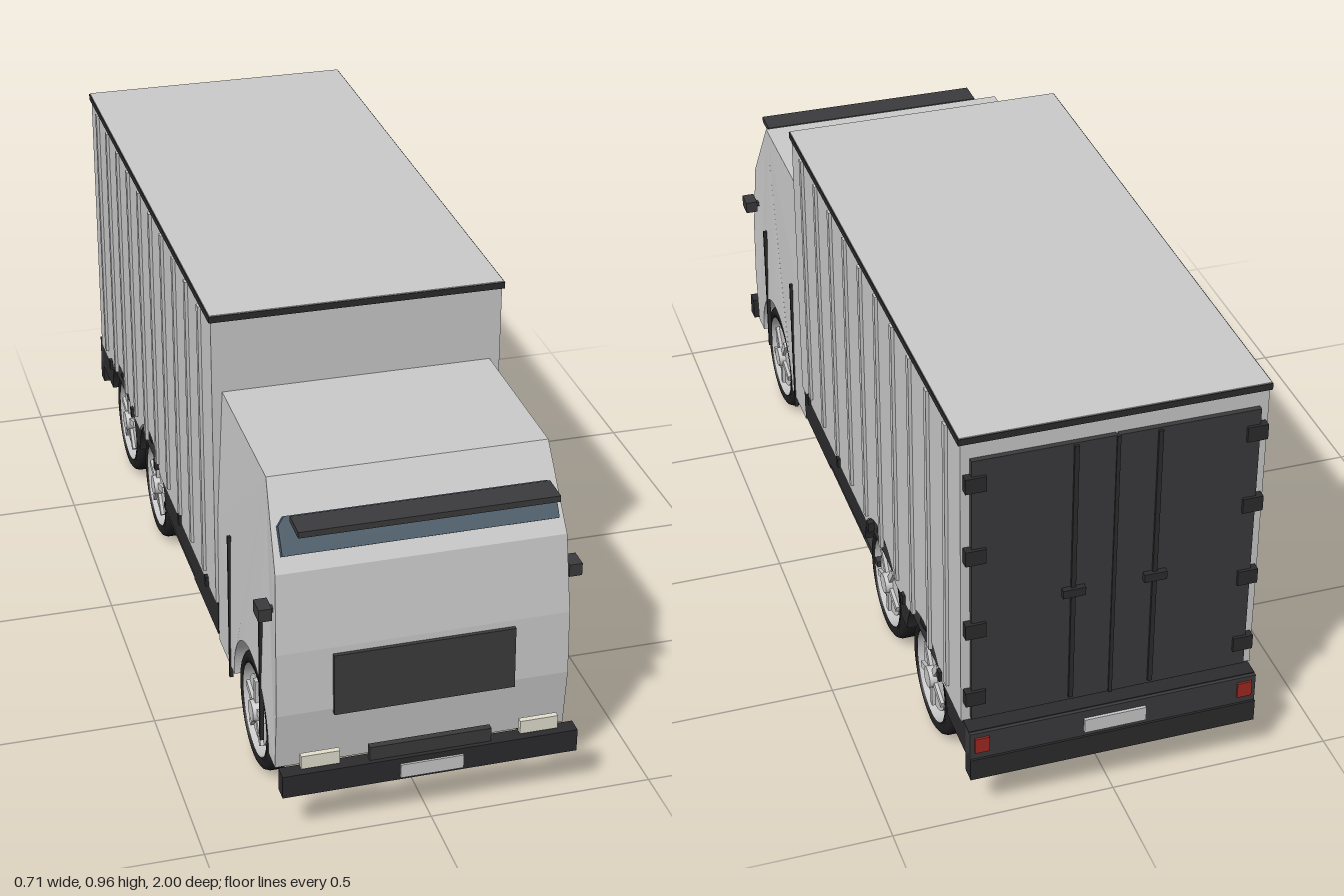
import * as THREE from 'three';

const mat = (color) => new THREE.MeshStandardMaterial({ color, side: THREE.DoubleSide });
const GREY = mat(0xcccccc), DARK = mat(0x3b3b3d), TRIM = mat(0x2c2c2e), RUBBER = mat(0x202020);
const GLASS = mat(0x4e5e6c), LAMP = mat(0xe4e1d0), RED = mat(0xa02a22);

const ARCH_R = 0.155, AXLE_Y = 0.135;
const FRONT_AXLE = 0.705, REAR_AXLES = [-0.675, -0.32];

export function createModel() {
  const truck = new THREE.Group();
  truck.name = 'boxTruck';

  const add = (name, geometry, material, parent = truck) => {
    const mesh = new THREE.Mesh(geometry, material);
    mesh.name = name;
    parent.add(mesh);
    return mesh;
  };
  // Box given by its extents on each axis
  const box = (name, [x0, x1], [y0, y1], [z0, z1], material, parent) => {
    const mesh = add(name, new THREE.BoxGeometry(x1 - x0, y1 - y0, z1 - z0), material, parent);
    mesh.position.set((x0 + x1) / 2, (y0 + y1) / 2, (z0 + z1) / 2);
    return mesh;
  };
  // Same box on both sides
  const pair = (name, [x0, x1], y, z, material) => {
    box(name + 'Left', [x0, x1], y, z, material);
    box(name + 'Right', [-x1, -x0], y, z, material);
  };
  // Side profile with wheel arches along its bottom edge, extruded across the width
  const archedBody = (z0, z1, bottom, axles, upper, halfWidth) => {
    const s = new THREE.Shape();
    s.moveTo(z0, bottom);
    const a = Math.asin((bottom - AXLE_Y) / ARCH_R);
    for (const z of axles) {
      s.lineTo(z - ARCH_R * Math.cos(a), bottom);
      s.absarc(z, AXLE_Y, ARCH_R, Math.PI - a, a, true);
    }
    s.lineTo(z1, bottom);
    for (const [z, y] of upper) s.lineTo(z, y);
    s.closePath();
    const g = new THREE.ExtrudeGeometry(s, { depth: halfWidth * 2, bevelEnabled: false, curveSegments: 24 });
    g.translate(0, 0, -halfWidth);
    g.rotateY(-Math.PI / 2);
    return g;
  };

  // Cab, narrowing towards the roof
  const cab = archedBody(0.405, 0.915, 0.13, [FRONT_AXLE],
    [[0.93, 0.27], [0.925, 0.42], [0.9, 0.6], [0.79, 0.77], [0.405, 0.77], [0.405, 0.45]], 0.324);
  const p = cab.attributes.position;
  for (let i = 0; i < p.count; i++) {
    const t = Math.max(0, (p.getY(i) - 0.3) / 0.47);
    p.setX(i, p.getX(i) * (1 - 0.053 * t * t));
  }
  cab.computeVertexNormals();
  add('cab', cab, GREY);

  // Windscreen, visor and grille
  const windscreen = new THREE.Shape();
  windscreen.moveTo(-0.3, -0.041);
  windscreen.lineTo(0.3, -0.041);
  windscreen.lineTo(0.3, 0.022);
  windscreen.lineTo(0.285, 0.041);
  windscreen.lineTo(-0.285, 0.041);
  windscreen.lineTo(-0.3, 0.022);
  const glass = add('windscreen', new THREE.ExtrudeGeometry(windscreen, { depth: 0.018, bevelEnabled: false }), GLASS);
  glass.position.set(0, 0.664, 0.858);
  glass.rotation.x = -0.574;
  box('sunVisor', [-0.28, 0.28], [0.71, 0.724], [0.88, 0.947], DARK);
  const grille = box('grille', [-0.2, 0.2], [0.26, 0.405], [0.92, 0.938], DARK);
  grille.rotation.x = -0.04;

  // Front bumper with lamps
  box('frontBumper', [-0.328, 0.328], [0.108, 0.162], [0.96, 0.995], TRIM);
  box('frontPlate', [-0.07, 0.07], [0.115, 0.148], [0.99, 1], GREY);
  box('lowerGrille', [-0.135, 0.135], [0.162, 0.195], [0.97, 0.985], DARK);
  pair('headlight', [0.2, 0.285], [0.168, 0.2], [0.972, 0.985], LAMP);

  // Mirrors and door seams
  pair('mirror', [0.325, 0.354], [0.495, 0.524], [0.86, 0.905], DARK);
  pair('mirrorArm', [0.308, 0.33], [0.504, 0.514], [0.873, 0.888], DARK);
  pair('doorSeamFront', [0.318, 0.327], [0.12, 0.47], [0.791, 0.798], TRIM);
  pair('doorSeamRear', [0.318, 0.327], [0.1, 0.47], [0.511, 0.518], TRIM);

  // Cargo box, roof and chassis
  add('cargoBox', archedBody(-0.945, 0.405, 0.23, REAR_AXLES, [[0.405, 0.945], [-0.945, 0.945]], 0.33), GREY);
  box('roofTrim', [-0.335, 0.335], [0.942, 0.957], [-0.949, 0.41], TRIM);
  box('roofPanel', [-0.333, 0.333], [0.95, 0.959], [-0.947, 0.408], GREY);
  add('chassis', archedBody(-0.985, 0.405, 0.155, REAR_AXLES, [[0.405, 0.232], [-0.985, 0.232]], 0.325), TRIM);

  // Side ribs, marker lamps and under-run rails
  for (let i = 0; i < 10; i++) {
    const z = 0.302 - i * 0.1283;
    pair('sideRib' + (i + 1), [0.328, 0.337], [0.26, 0.935], [z - 0.008, z + 0.008], GREY);
  }
  [0.325, 0.04, -0.235, -0.52, -0.8].forEach((z, i) =>
    pair('sideMarker' + (i + 1), [0.322, 0.337], [0.23, 0.255], [z - 0.008, z + 0.008], TRIM));
  pair('sideRail', [0.295, 0.315], [0.117, 0.133], [-0.235, 0.245], DARK);
  pair('sideStep', [0.29, 0.325], [0.142, 0.156], [0.155, 0.4], TRIM);

  // Rear doors with seam, lock bars, handles and hinges
  pair('rearDoor', [0.002, 0.31], [0.24, 0.905], [-0.957, -0.94], DARK);
  pair('lockBar', [0.085, 0.095], [0.25, 0.9], [-0.963, -0.955], TRIM);
  pair('doorHandle', [0.065, 0.115], [0.525, 0.545], [-0.97, -0.957], TRIM);
  box('doorSeam', [-0.004, 0.004], [0.24, 0.905], [-0.961, -0.95], TRIM);
  [0.3, 0.48, 0.67, 0.85].forEach((y, i) =>
    pair('doorHinge' + (i + 1), [0.28, 0.325], [y - 0.018, y + 0.018], [-0.964, -0.945], TRIM));

  // Rear bumper with tail lamps
  box('rearPanel', [-0.325, 0.325], [0.155, 0.23], [-0.993, -0.96], DARK);
  box('rearBumper', [-0.325, 0.325], [0.108, 0.162], [-0.998, -0.962], TRIM);
  box('rearPlate', [-0.07, 0.07], [0.175, 0.21], [-1, -0.99], GREY);
  pair('tailLamp', [0.282, 0.315], [0.18, 0.218], [-0.998, -0.97], RED);

  // Wheels: ring tyre, open rim, disc with five spokes and a hub
  const tyreProfile = [[0.106, -0.026], [0.122, -0.028], [0.131, -0.022], [0.135, -0.012], [0.135, 0.012],
    [0.131, 0.022], [0.122, 0.028], [0.106, 0.026], [0.106, -0.026]].map(([r, y]) => new THREE.Vector2(r, y));
  const tyre = new THREE.LatheGeometry(tyreProfile, 40);
  const rim = new THREE.CylinderGeometry(0.105, 0.105, 0.05, 40, 1, true);
  const disc = new THREE.CylinderGeometry(0.08, 0.08, 0.02, 32);
  const hub = new THREE.CylinderGeometry(0.024, 0.028, 0.036, 20);
  const spoke = new THREE.BoxGeometry(0.062, 0.012, 0.016);
  spoke.translate(0.048, 0.02, 0);
  const wheel = (name, side, z) => {
    const w = new THREE.Group();
    w.name = name;
    add('tyre', tyre, RUBBER, w);
    add('rim', rim, GREY, w);
    add('wheelDisc', disc, GREY, w).position.y = 0.008;
    add('hub', hub, GREY, w).position.y = 0.017;
    for (let i = 0; i < 5; i++) add('spoke', spoke, GREY, w).rotation.y = (i * Math.PI * 2) / 5;
    w.rotation.z = -side * Math.PI / 2;
    w.position.set(side * 0.29, AXLE_Y, z);
    truck.add(w);
  };
  for (const [side, label] of [[1, 'Left'], [-1, 'Right']]) {
    wheel('frontWheel' + label, side, FRONT_AXLE);
    REAR_AXLES.forEach((z, i) => wheel('rearWheel' + label + (i + 1), side, z));
  }
  return truck;
}
